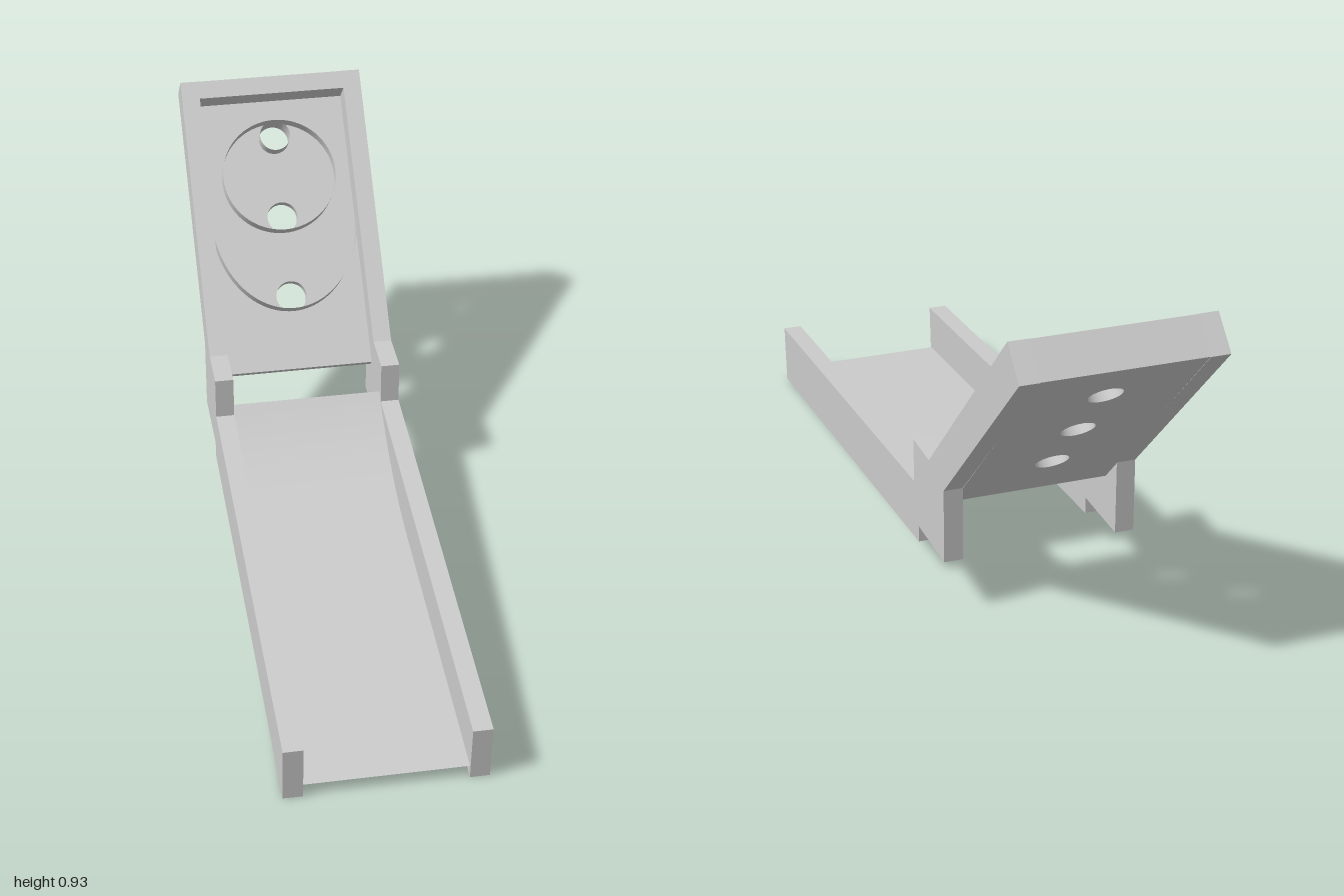
import * as THREE from 'three';

const INNER = 0.205, RAIL = 0.05;      // half width of the lane, rail thickness
const FLOOR = 0.028, RIM = 0.042;      // target floor thickness, ring height

const solid = new THREE.MeshStandardMaterial({ color: 0xcccccc });
const sheet = new THREE.MeshStandardMaterial({ color: 0xcccccc, side: THREE.DoubleSide });

function add(parent, name, geometry, material = solid) {
  const mesh = new THREE.Mesh(geometry, material);
  mesh.name = name;
  parent.add(mesh);
  return mesh;
}

// One-piece side: lane rail, bracket and target frame, outlined as (-z, y)
function sideGeometry() {
  const outline = [
    [-1, 0.163], [-0.988, 0.002], [0.28, 0.1], [0.28, 0.145], [0.48, 0.145], [0.48, 0.345],
    [0.998, 0.86], [0.922, 0.935], [0.367, 0.376], [0.245, 0.376], [0.245, 0.258],
  ];
  const shape = new THREE.Shape(outline.map(([a, b]) => new THREE.Vector2(a, b)));
  return new THREE.ExtrudeGeometry(shape, { depth: RAIL, bevelEnabled: false }).rotateY(Math.PI / 2);
}

// Lane floor: straight slope, then an arc curling up to the jump
function laneGeometry() {
  const start = Math.atan(0.077), end = THREE.MathUtils.degToRad(40);
  const length = 0.426, zArc = 0.156, yArc = 0.101, steps = 24;
  const radius = length / (Math.sin(end) - Math.sin(start));
  const profile = [[0.985, 0.037]];
  for (let i = 0; i <= steps; i++) {
    const a = start + (end - start) * i / steps;
    profile.push([
      zArc - radius * (Math.sin(a) - Math.sin(start)),
      yArc + radius * (Math.cos(start) - Math.cos(a)),
    ]);
  }
  const geometry = new THREE.PlaneGeometry(2 * INNER, 1, 1, profile.length - 1);
  const pos = geometry.attributes.position;
  for (let i = 0; i < pos.count; i++) {
    // plane rows run from the far end to the near end
    const [z, y] = profile[profile.length - 1 - Math.floor(i / 2)];
    pos.setXYZ(i, pos.getX(i), y, z);
  }
  geometry.computeVertexNormals();
  return geometry;
}

// Thin upright wall on the target floor, following an ellipse or part of one
function wallGeometry(rx, ry, centre, from = 0, sweep = Math.PI * 2) {
  return new THREE.CylinderGeometry(1, 1, RIM, 64, 1, true, from, sweep)
    .rotateX(Math.PI / 2)
    .scale(rx, ry, 1)
    .translate(0, centre, RIM / 2);
}

function createTarget() {
  const target = new THREE.Group();
  target.name = 'target';
  const hole = 0.043, top = 0.78;

  // Floor with three scoring holes
  const shape = new THREE.Shape();
  shape.moveTo(-INNER, 0).lineTo(INNER, 0).lineTo(INNER, top).lineTo(-INNER, top).closePath();
  for (const y of [0.208, 0.438, 0.667]) {
    shape.holes.push(new THREE.Path().absarc(0, y, hole, 0, Math.PI * 2, true));
  }
  add(target, 'targetFloor', new THREE.ExtrudeGeometry(shape, {
    depth: FLOOR, bevelEnabled: false, curveSegments: 32,
  }).translate(0, 0, -FLOOR));

  // Bar closing the upper end
  add(target, 'topBar', new THREE.BoxGeometry(2 * INNER, 0.05, 0.105)
    .translate(0, top + 0.025, 0.0245));

  // Scoring rings
  add(target, 'topCup', wallGeometry(hole, hole, 0.667), sheet);
  add(target, 'middleRing', wallGeometry(0.16, 0.16, 0.552), sheet);
  add(target, 'lowerArc', wallGeometry(INNER, 0.262, 0.427, -Math.PI / 2, Math.PI), sheet);

  target.rotation.x = -Math.PI / 4;
  target.position.set(0, 0.293, -0.39);
  return target;
}

export function createModel() {
  const model = new THREE.Group();
  model.name = 'ballRamp';
  const side = sideGeometry();
  add(model, 'leftSide', side).position.x = INNER;
  add(model, 'rightSide', side).position.x = -INNER - RAIL;
  add(model, 'laneFloor', laneGeometry(), sheet);
  model.add(createTarget());
  return model;
}
